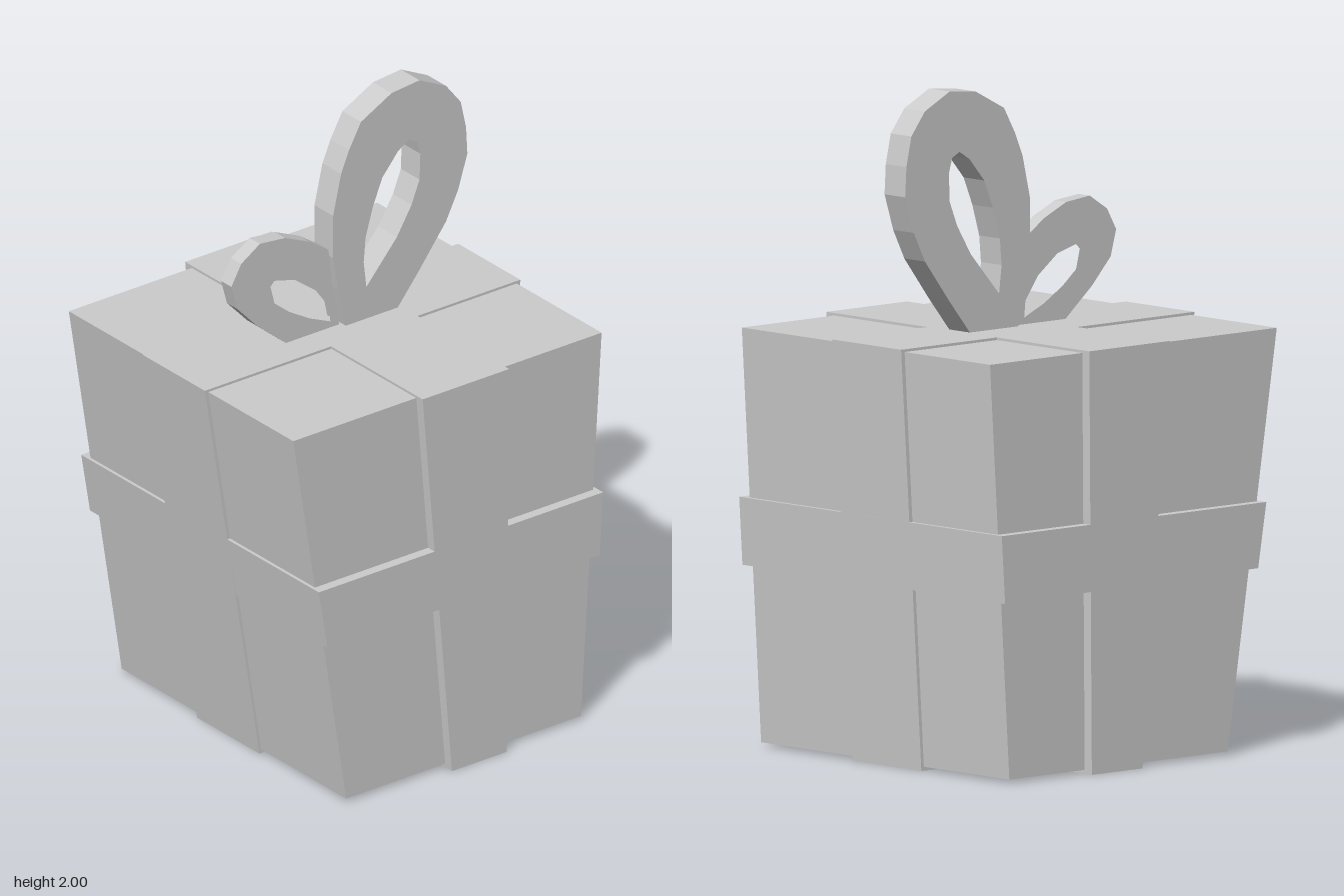
import * as THREE from 'three';

const material = new THREE.MeshStandardMaterial({ color: 0xcccccc, flatShading: true });

const toPoints = (list) => list.map(([x, y]) => new THREE.Vector2(x, y));

// Front-facing outline (optionally with a hole) extruded from zBack to zFront
function slab(name, outline, zBack, zFront, hole) {
  const shape = new THREE.Shape(toPoints(outline));
  if (hole) shape.holes.push(new THREE.Path(toPoints(hole)));
  const geometry = new THREE.ExtrudeGeometry(shape, { depth: zFront - zBack, bevelEnabled: false });
  geometry.translate(0, 0, zBack);
  const mesh = new THREE.Mesh(geometry, material);
  mesh.name = name;
  return mesh;
}

export function createModel() {
  const group = new THREE.Group();
  group.name = 'giftBox';

  // Lopsided box, wider at the top
  const box = [[-0.383, 0.012], [0.5, 0.012], [0.578, 1.262], [-0.582, 1.262]];
  group.add(slab('box', box, -0.543, 0.54));

  // Ribbons wrapped around the box in all three directions
  const sideRibbon = [[-0.39, 0], [0.51, 0], [0.592, 1.27], [-0.595, 1.27]];
  const frontRibbon = [[-0.01, 0], [0.195, 0], [0.205, 1.27], [-0.12, 1.27]];
  const waistRibbon = [[-0.478, 0.555], [0.546, 0.545], [0.559, 0.75], [-0.511, 0.75]];
  group.add(slab('sideRibbon', sideRibbon, -0.17, 0.13));
  group.add(slab('frontRibbon', frontRibbon, -0.574, 0.572));
  group.add(slab('waistRibbon', waistRibbon, -0.574, 0.572));

  // Large bow loop
  const largeLoop = [
    [0, 1.26], [0.185, 1.26], [0.275, 1.37], [0.375, 1.5], [0.42, 1.59], [0.455, 1.7],
    [0.45, 1.79], [0.43, 1.88], [0.375, 1.95], [0.275, 2], [0.17, 1.99], [0.055, 1.93],
    [0.01, 1.85], [-0.02, 1.78], [-0.05, 1.65], [-0.05, 1.51], [-0.03, 1.4],
  ];
  const largeHole = [
    [0.075, 1.375], [0.065, 1.46], [0.072, 1.54], [0.1, 1.635], [0.135, 1.72], [0.195, 1.79],
    [0.235, 1.815], [0.265, 1.8], [0.278, 1.755], [0.275, 1.67], [0.245, 1.595], [0.19, 1.505],
  ];
  group.add(slab('largeBowLoop', largeLoop, -0.04, 0.05, largeHole));

  // Small bow loop
  const smallLoop = [
    [-0.01, 1.26], [-0.2, 1.26], [-0.32, 1.36], [-0.395, 1.44], [-0.417, 1.52], [-0.38, 1.585],
    [-0.31, 1.63], [-0.215, 1.62], [-0.125, 1.58], [-0.052, 1.53], [-0.04, 1.42],
  ];
  const smallHole = [
    [-0.27, 1.475], [-0.255, 1.49], [-0.18, 1.47], [-0.1, 1.41], [-0.05, 1.34],
    [-0.045, 1.29], [-0.125, 1.325], [-0.2, 1.37], [-0.255, 1.415],
  ];
  group.add(slab('smallBowLoop', smallLoop, -0.02, 0.03, smallHole));

  return group;
}
